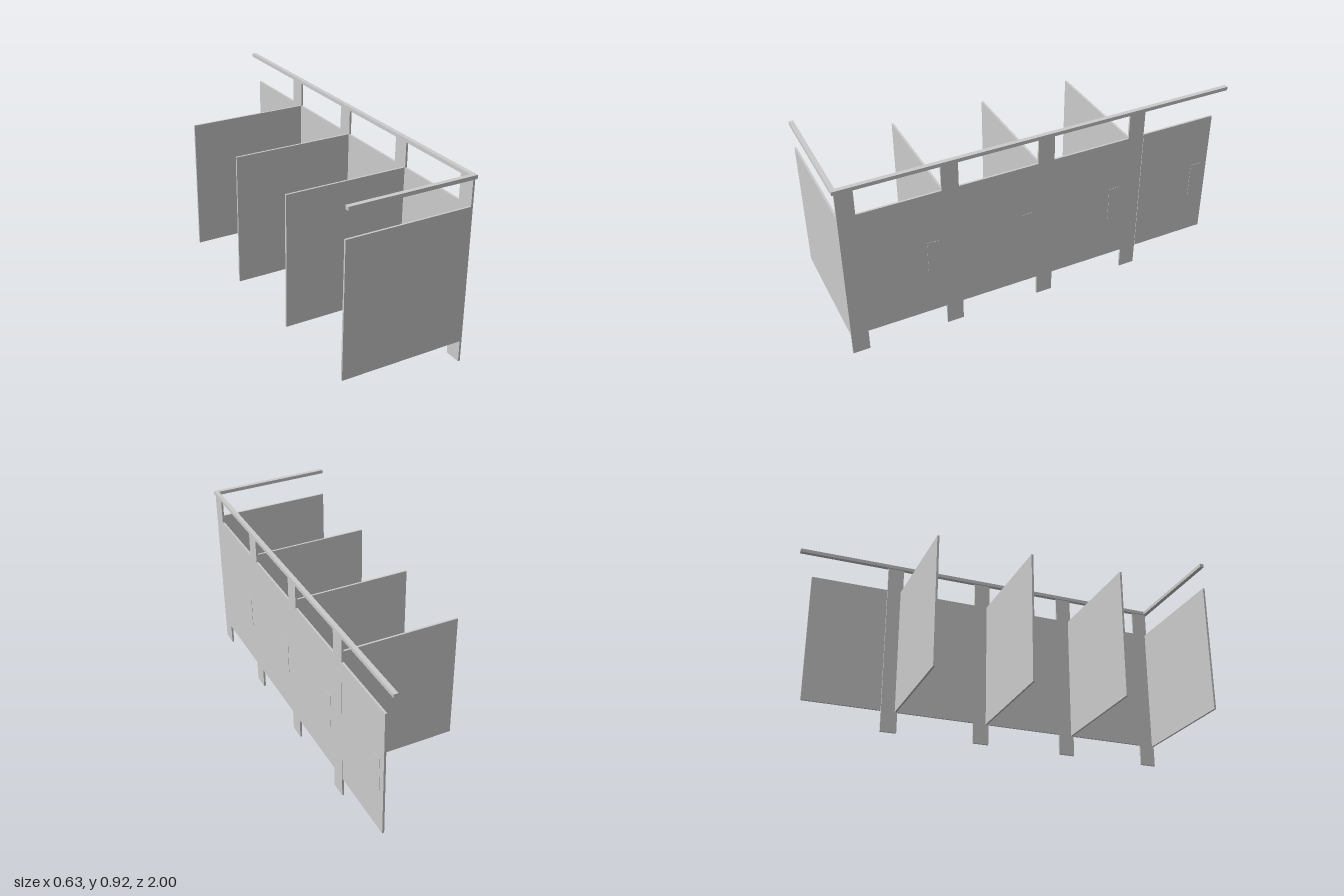
import * as THREE from 'three';

const material = new THREE.MeshStandardMaterial({ color: 0xcccccc, flatShading: true });

// Box given by its minimum and maximum corners
function box(name, [x0, y0, z0], [x1, y1, z1]) {
  const mesh = new THREE.Mesh(new THREE.BoxGeometry(x1 - x0, y1 - y0, z1 - z0), material);
  mesh.position.set((x0 + x1) / 2, (y0 + y1) / 2, (z0 + z1) / 2);
  mesh.name = name;
  return mesh;
}

// Flat outline in (x, y), extruded by depth
function plate(name, points, depth) {
  const shape = new THREE.Shape(points.map(([x, y]) => new THREE.Vector2(x, y)));
  const geometry = new THREE.ExtrudeGeometry(shape, { depth, bevelEnabled: false });
  const mesh = new THREE.Mesh(geometry, material);
  mesh.name = name;
  return mesh;
}

export function createModel() {
  const group = new THREE.Group();
  group.name = 'stallPartitions';

  const low = 0.108, high = 0.775, railBottom = 0.904, railTop = 0.922;
  const wallIn = 0.302, wallOut = 0.312, sideEnd = -0.318;
  const postStarts = [-0.99, -0.511, -0.031, 0.451]; // measured along -z
  const postWidth = 0.083;

  // Long front wall: stall fronts with posts running down to feet and up to the rail
  const bottom = [], top = [];
  postStarts.forEach((a, i) => {
    const b = a + postWidth;
    if (i > 0) {
      bottom.push([a, low]);
      top.push([a, high]);
    }
    bottom.push([a, 0], [b, 0]);
    top.push([a, railBottom], [b, railBottom]);
    if (i < postStarts.length - 1) {
      bottom.push([b, low]);
      top.push([b, high]);
    }
  });
  const wall = plate('frontWall', [...bottom, ...top.reverse()], wallOut - wallIn);
  wall.rotation.y = Math.PI / 2;
  wall.position.x = wallIn;
  group.add(wall);

  // Last door, hung beyond the final post
  group.add(box('endDoor', [wallIn, low, -0.93], [wallOut, high, -0.536]));

  // Dividers between the stalls
  [0.985, 0.502, 0.021, -0.459].forEach((z) => {
    group.add(box('divider', [sideEnd, low, z - 0.005], [wallIn, high, z + 0.005]));
  });

  // Thin push plates on the doors
  [0.565, 0.088, -0.389, -0.866].forEach((z) => {
    group.add(box('pushPlate', [wallOut - 0.002, 0.335, z - 0.029], [wallOut + 0.0015, 0.51, z + 0.029]));
  });

  // Head rail with a mitred corner: long run and short return
  const inner = 0.294, outer = 0.316, back = 0.978;
  const longRail = plate('longRail',
    [[inner, 1], [outer, 1], [outer, -1], [inner, -back]], railTop - railBottom);
  const returnRail = plate('returnRail',
    [[-0.315, -1], [outer, -1], [inner, -back], [-0.315, -back]], railTop - railBottom);
  [longRail, returnRail].forEach((rail) => {
    rail.rotation.x = -Math.PI / 2;
    rail.position.y = railBottom;
    group.add(rail);
  });

  return group;
}
